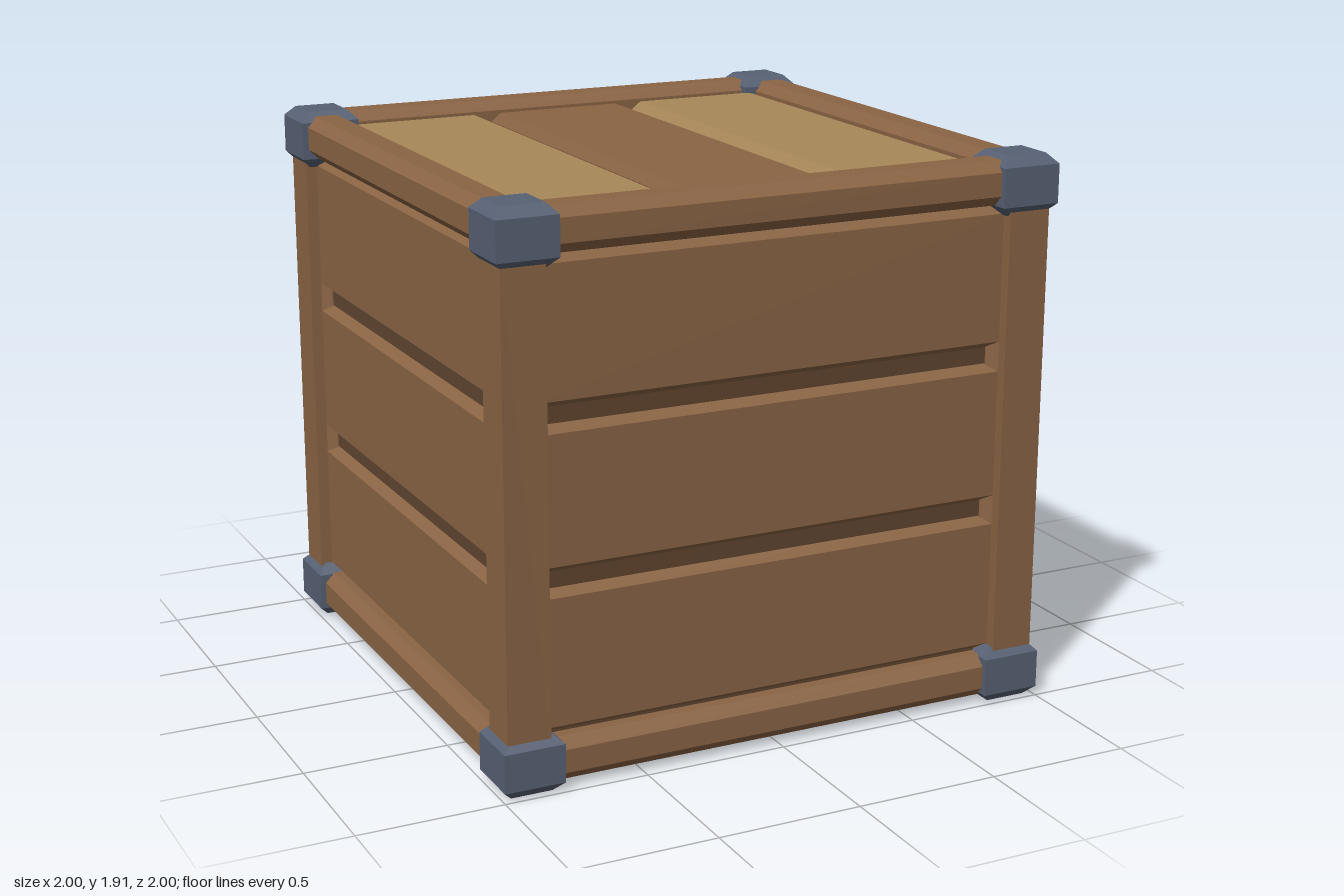
import * as THREE from 'three';

const mat = (name, color) => {
  const m = new THREE.MeshStandardMaterial({ color });
  m.name = name;
  return m;
};

// Box whose vertices are moved by a rule, then given flat normals
function shapedBox(w, h, d, rows, rule) {
  const g = new THREE.BoxGeometry(w, h, d, 1, rows, 1);
  const p = g.attributes.position;
  for (let i = 0; i < p.count; i++) {
    const v = new THREE.Vector3().fromBufferAttribute(p, i);
    rule(v);
    p.setXYZ(i, v.x, v.y, v.z);
  }
  const flat = g.toNonIndexed();
  flat.computeVertexNormals();
  return flat;
}

// Plank lying flat, its upper face drawn in by ix and iz
const plankGeometry = (w, h, d, ix, iz) => shapedBox(w, h, d, 1, (v) => {
  if (v.y > 0) {
    v.x -= Math.sign(v.x) * ix;
    v.z -= Math.sign(v.z) * iz;
  }
});

// Prism along z from outline points, centred on the origin
function prism(points, length) {
  const shape = new THREE.Shape(points.map(([x, y]) => new THREE.Vector2(x, y)));
  const g = new THREE.ExtrudeGeometry(shape, { depth: length, bevelEnabled: false });
  return g.translate(0, 0, -length / 2);
}

export function createModel() {
  const group = new THREE.Group();
  group.name = 'crate';
  const brown = mat('brownWood', 0x8a6444);
  const tan = mat('lightWood', 0xa8885a);
  const dark = mat('darkWood', 0x60452f);
  const metal = mat('blueGreyMetal', 0x576174);
  const add = (parent, name, geometry, material, x = 0, y = 0, z = 0) => {
    const mesh = new THREE.Mesh(geometry, material);
    mesh.name = name;
    mesh.position.set(x, y, z);
    parent.add(mesh);
    return mesh;
  };
  const MID = 0.9575;

  // Dark inner box seen between the planks and from below
  add(group, 'innerBox', new THREE.BoxGeometry(1.81, 1.735, 1.81), dark, 0, MID, 0);

  // Rail section: square with cut corners
  const s = 0.075, c = 0.04;
  const railGeometry = prism([
    [s, -c], [s, c], [c, s], [-c, s], [-s, c], [-s, -c], [-c, -s], [c, -s],
  ], 1.7).rotateY(Math.PI / 2);

  // Post section: square outside, slanted lips beside the grooves
  const postGeometry = prism([
    [0.98, 0.98], [0.83, 0.98], [0.83, 0.94], [0.8, 0.91],
    [0.8, 0.8], [0.91, 0.8], [0.94, 0.83], [0.98, 0.83],
  ], 1.66).rotateX(-Math.PI / 2);

  // Corner cap with bevelled top and bottom
  const capGeometry = shapedBox(0.21, 0.2, 0.21, 3, (v) => {
    if (Math.abs(v.y) > 0.09) {
      v.x -= Math.sign(v.x) * 0.033;
      v.z -= Math.sign(v.z) * 0.033;
    } else {
      v.y = Math.sign(v.y) * 0.066;
    }
  });

  const sidePlank = plankGeometry(1.7, 0.04, 0.49, 0, 0.027).rotateX(Math.PI / 2);

  // Four sides, turned about the centre: front, left, back, right
  [['front', brown], ['left', tan], ['back', tan], ['right', brown]].forEach(([name, wood], i) => {
    const side = new THREE.Group();
    side.name = name + 'Side';
    side.rotation.y = i * Math.PI / 2;
    group.add(side);
    for (const y of [0.42, 0.96, 1.5]) add(side, 'sidePlank', sidePlank, wood, 0, y, 0.92);
    for (const y of [0.095, 1.825]) add(side, 'rail', railGeometry, brown, 0, y, 0.905);
    add(side, 'cornerPost', postGeometry, brown, 0, MID, 0);
    for (const y of [0.1, 1.815]) add(side, 'cornerCap', capGeometry, metal, 0.895, y, 0.895);
  });

  // Lid planks
  const lidPlank = plankGeometry(0.527, 0.04, 1.66, 0.03, 0.03);
  [[-0.572, tan], [0, brown], [0.572, tan]].forEach(([x, wood]) => {
    add(group, 'lidPlank', lidPlank, wood, x, 1.84, 0);
  });

  return group;
}
